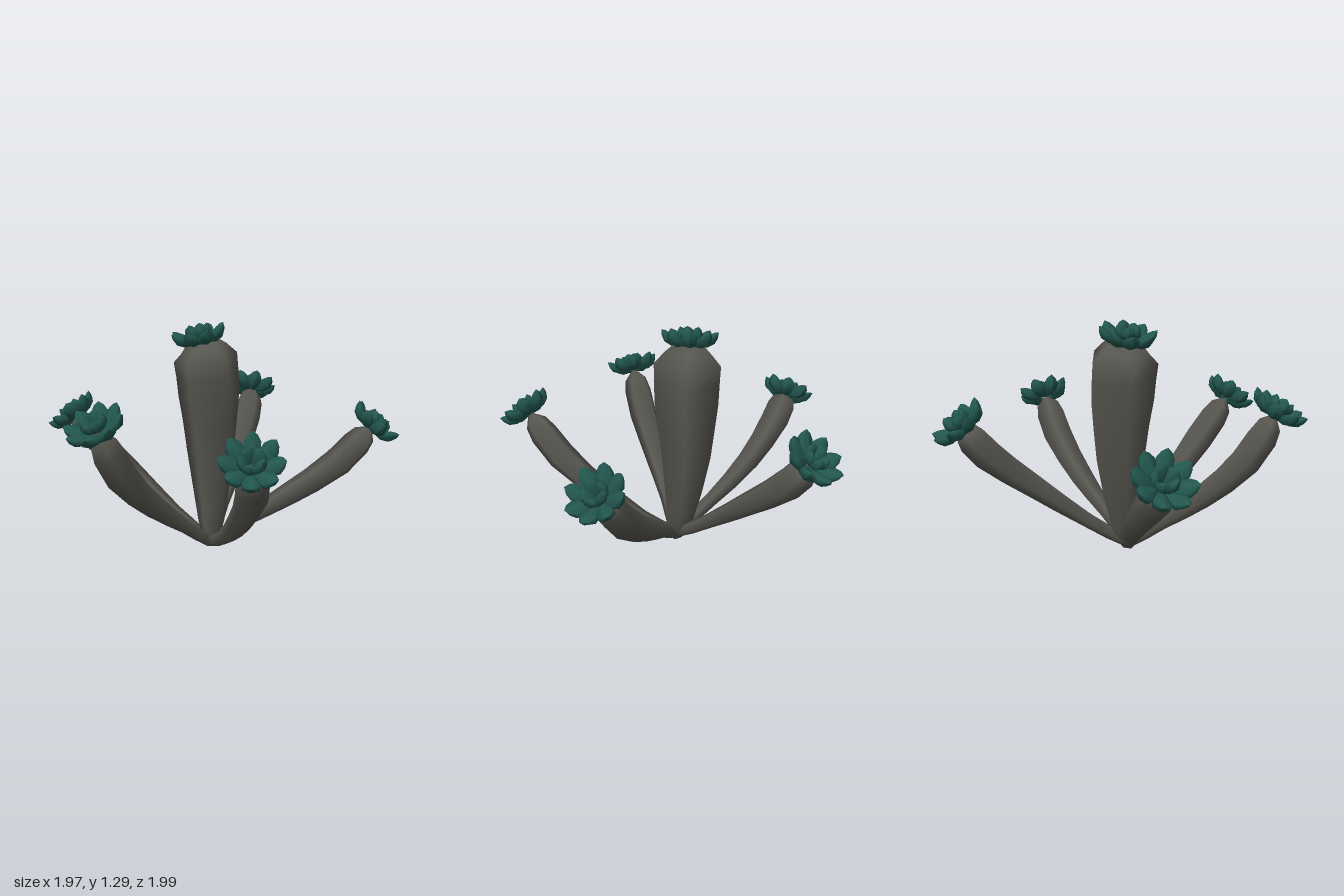
import * as THREE from 'three';

const UP = new THREE.Vector3(0, 1, 0);
const bark = new THREE.MeshStandardMaterial({ color: 0x585650 });
const leaf = new THREE.MeshStandardMaterial({ color: 0x22574f });

// Piecewise-linear lookup in [t, value] pairs
function lookup(table, t) {
  for (let i = 1; i < table.length; i++) {
    const [t0, v0] = table[i - 1], [t1, v1] = table[i];
    if (t <= t1) return v0 + (v1 - v0) * (t - t0) / (t1 - t0);
  }
  return table[table.length - 1][1];
}

// Five-sided limb swept along a curve, closed at both ends
function limbGeometry(curve, radii, steps, turn) {
  const sides = 5, pos = [], idx = [];
  const q = new THREE.Quaternion(), v = new THREE.Vector3();
  for (let i = 0; i < steps.length; i++) {
    const t = steps[i], r = lookup(radii, t), c = curve.getPoint(t);
    q.setFromUnitVectors(UP, curve.getTangent(t));
    for (let j = 0; j < sides; j++) {
      const a = turn + j / sides * Math.PI * 2;
      v.set(Math.cos(a) * r, 0, Math.sin(a) * r).applyQuaternion(q).add(c);
      v.y = Math.max(v.y, 0);
      pos.push(v.x, v.y, v.z);
      if (i === steps.length - 1) continue;
      const k = i * sides, n = (j + 1) % sides;
      idx.push(k + j, k + sides + j, k + n, k + n, k + sides + j, k + sides + n);
    }
  }
  const top = (steps.length - 1) * sides;
  for (let j = 1; j < sides - 1; j++) {
    idx.push(0, j, j + 1, top, top + j + 1, top + j);
  }
  const g = new THREE.BufferGeometry();
  g.setAttribute('position', new THREE.Float32BufferAttribute(pos, 3));
  g.setIndex(idx);
  g.computeVertexNormals();
  return g;
}

// Plump pointed petal growing along +y, bellied outwards so it cups the rosette
function petalGeometry(length, width) {
  const profile = [[0, 0], [0.5, 0.06], [0.9, 0.35], [1, 0.66], [0.6, 0.87], [0, 1]]
    .map(([w, t]) => new THREE.Vector2(w * width, t * length));
  const g = new THREE.LatheGeometry(profile, 6);
  const p = g.attributes.position;
  for (let i = 0; i < p.count; i++) {
    const t = p.getY(i) / length;
    p.setZ(i, p.getZ(i) * 0.6 + length * 0.5 * t * (1 - t));
  }
  g.computeVertexNormals();
  return g;
}
const outerPetal = petalGeometry(0.148, 0.047);
const innerPetal = petalGeometry(0.095, 0.042);

// Cupped rosette: a wide outer ring, a steeper inner ring
function rosette(position, axis, spin) {
  const group = new THREE.Group();
  group.name = 'rosette';
  const rings = [
    [outerPetal, 8, 1.02, 0.03, 0.01, 'outerPetal'],
    [innerPetal, 5, 0.5, 0.01, 0.025, 'innerPetal'],
  ];
  for (const [geometry, count, tilt, radius, lift, name] of rings) {
    for (let i = 0; i < count; i++) {
      const pivot = new THREE.Group();
      pivot.rotation.y = spin + i / count * Math.PI * 2;
      const petal = new THREE.Mesh(geometry, leaf);
      petal.name = name;
      petal.position.set(0, lift, radius);
      petal.rotation.x = tilt;
      pivot.add(petal);
      group.add(pivot);
    }
  }
  group.position.copy(position);
  group.quaternion.setFromUnitVectors(UP, axis);
  return group;
}

const path = (points) => new THREE.CatmullRomCurve3(points.map((p) => new THREE.Vector3(...p)));

export function createModel() {
  const model = new THREE.Group();
  model.name = 'succulent';

  // Thick central trunk with sloped shoulders
  const trunkCurve = path([[-0.09, 0, -0.06], [-0.08, 0.14, -0.09], [-0.075, 0.56, -0.125],
    [-0.083, 0.88, -0.122], [-0.102, 1.09, -0.12], [-0.125, 1.19, -0.12]]);
  const trunkRadii = [[0, 0.04], [0.2, 0.08], [0.4, 0.145], [0.6, 0.184], [0.8, 0.191], [1, 0.085]];
  const trunk = new THREE.Mesh(
    limbGeometry(trunkCurve, trunkRadii, [0, 0.1, 0.2, 0.3, 0.4, 0.5, 0.6, 0.7, 0.8, 0.9, 1], -0.17), bark);
  trunk.name = 'trunk';
  model.add(trunk);
  model.add(rosette(new THREE.Vector3(-0.13, 1.175, -0.12), new THREE.Vector3(-0.2, 1, 0).normalize(), 0.2));

  // Five slender arms curving outwards and up
  const root = [-0.09, 0.02, -0.06];
  const arms = [
    [root, [-0.28, 0.165, -0.23], [-0.5, 0.355, -0.42], [-0.72, 0.56, -0.55], [-0.84, 0.715, -0.6]],
    [root, [0.02, 0.19, -0.27], [0.17, 0.42, -0.52], [0.28, 0.62, -0.73], [0.34, 0.79, -0.85]],
    [root, [0.1, 0.145, -0.045], [0.35, 0.29, -0.015], [0.64, 0.49, 0.04], [0.83, 0.72, 0.09]],
    [root, [-0.045, 0.125, 0.13], [-0.02, 0.28, 0.36], [-0.02, 0.485, 0.62], [-0.07, 0.74, 0.845]],
    [root, [-0.25, 0.165, 0.03], [-0.44, 0.34, 0.15], [-0.62, 0.56, 0.285], [-0.74, 0.84, 0.39]],
  ];
  const armRadii = [[0, 0.035], [0.25, 0.043], [0.5, 0.068], [0.75, 0.089], [0.87, 0.087], [0.93, 0.07], [0.97, 0.02]];
  const armSteps = [0, 0.12, 0.25, 0.38, 0.5, 0.62, 0.75, 0.87, 0.93, 0.97];
  arms.forEach((points, i) => {
    const curve = path(points);
    const arm = new THREE.Mesh(limbGeometry(curve, armRadii, armSteps, i * 1.3), bark);
    arm.name = 'arm';
    const axis = curve.getTangent(1);
    const seat = curve.getPoint(1).addScaledVector(axis, -0.04);
    model.add(arm, rosette(seat, axis, i * 0.7));
  });
  return model;
}
